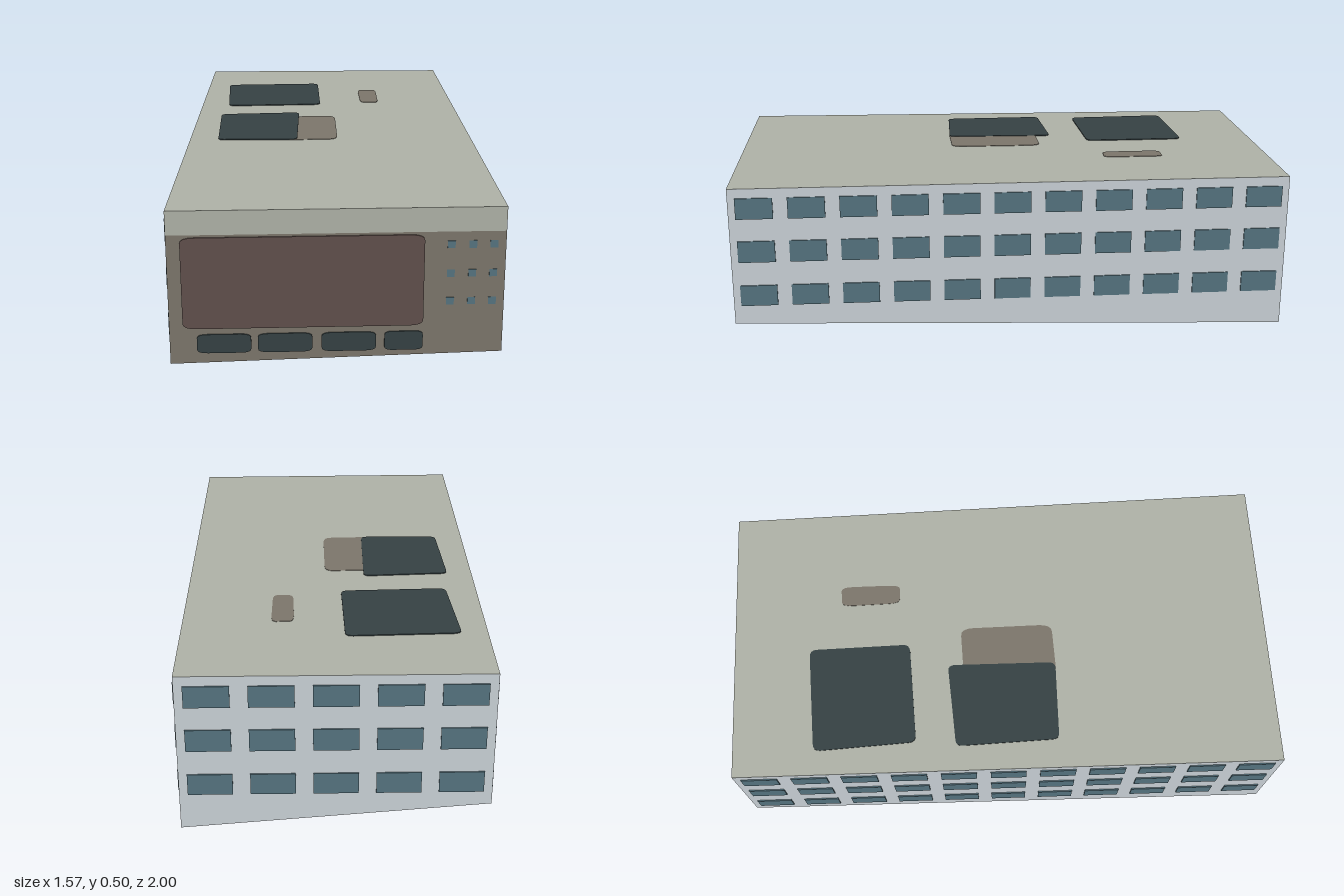
import * as THREE from 'three';

const mat = (name, color, side = THREE.FrontSide) => {
  const m = new THREE.MeshStandardMaterial({ color, side });
  m.name = name;
  return m;
};

// Footprint corners, counter-clockwise from above: [x, z, bottom height]
const CORNERS = [[-0.08, 0.995, 0.033], [0.783, 0.587, 0.055], [0.04, -1, 0], [-0.785, -0.625, 0.072]];
const ROOF_Y = 0.497, BAND_Y = 0.425;

export function createModel() {
  const wall = mat('paleWall', 0xcbd3d8);
  const stone = mat('roofGrey', 0xb0b3a8);
  const taupe = mat('taupe', 0x7d776c);
  const brown = mat('brownPanel', 0x61504c);
  const dark = mat('darkGlass', 0x364244);
  const glass = mat('windowGlass', 0x567480);

  const model = new THREE.Group();
  model.name = 'building';

  // A face patch from four corners, split along the first-third diagonal
  const quad = (name, pts, material) => {
    const g = new THREE.BufferGeometry();
    g.setAttribute('position', new THREE.Float32BufferAttribute([0, 1, 2, 0, 2, 3].flatMap(i => pts[i]), 3));
    g.computeVertexNormals();
    const mesh = new THREE.Mesh(g, material);
    mesh.name = name;
    model.add(mesh);
  };

  // Shell: sloping base, flat roof and four walls
  const low = CORNERS.map(([x, z, y]) => [x, y, z]);
  const at = y => CORNERS.map(([x, z]) => [x, y, z]);
  const top = at(ROOF_Y), band = at(BAND_Y);
  quad('roof', top, stone);
  quad('base', [low[3], low[2], low[1], low[0]], wall);
  quad('frontLowerWall', [low[0], low[1], band[1], band[0]], taupe);
  quad('frontUpperBand', [band[0], band[1], top[1], top[0]], stone);
  ['rightWall', 'backWall', 'leftWall'].forEach((name, k) => {
    const a = k + 1, b = (k + 2) % 4;
    quad(name, [low[a], low[b], top[b], top[a]], wall);
  });

  // Thin plate outlined by points whose corners are rounded by fraction r
  const plateGeometry = (pts, r, depth) => {
    const s = new THREE.Shape();
    const v = pts.map(p => new THREE.Vector2(...p));
    v.forEach((p, i) => {
      const prev = v[(i + v.length - 1) % v.length], next = v[(i + 1) % v.length];
      const a = p.clone().lerp(prev, r), b = p.clone().lerp(next, r);
      if (i) s.lineTo(a.x, a.y); else s.moveTo(a.x, a.y);
      if (r) s.quadraticCurveTo(p.x, p.y, b.x, b.y);
    });
    s.closePath();
    return new THREE.ExtrudeGeometry(s, { depth, bevelEnabled: false, curveSegments: 4 });
  };

  // Group whose local x runs along a wall, y is up and z points outwards
  const wallFrame = (name, i) => {
    const [ax, az] = CORNERS[i], [bx, bz] = CORNERS[(i + 1) % 4];
    const group = new THREE.Group();
    group.name = name;
    group.position.set(ax, 0, az);
    group.rotation.y = Math.atan2(az - bz, bx - ax);
    model.add(group);
    return { group, length: Math.hypot(bx - ax, bz - az) };
  };

  const addPlate = (parent, name, x0, x1, y0, y1, material, r = 0, depth = 0.004) => {
    const mesh = new THREE.Mesh(plateGeometry([[x0, y0], [x1, y0], [x1, y1], [x0, y1]], r, depth), material);
    mesh.name = name;
    parent.add(mesh);
  };

  // Three storeys of windows on the side and back walls
  const rows = [[0.115, 0.182], [0.259, 0.328], [0.4, 0.467]];
  [['rightWindows', 1, 11], ['backWindows', 2, 5], ['leftWindows', 3, 11]].forEach(([name, i, count]) => {
    const { group, length } = wallFrame(name, i);
    const cell = length / count;
    for (const [y0, y1] of rows)
      for (let c = 0; c < count; c++)
        addPlate(group, 'window', (c + 0.14) * cell, (c + 0.86) * cell, y0, y1, glass);
  });

  // Front: large panel, row of low openings and small vents
  const front = wallFrame('frontDetails', 0);
  const fx = x => (x + 0.08) / 0.863 * front.length;
  addPlate(front.group, 'largePanel', fx(-0.045), fx(0.575), 0.142, 0.418, brown, 0.06);
  for (const [a, b] of [[-0.01, 0.13], [0.147, 0.288], [0.312, 0.453], [0.475, 0.575]])
    addPlate(front.group, 'lowOpening', fx(a), fx(b), 0.066, 0.124, dark, 0.2);
  for (const x of [0.643, 0.698, 0.752])
    for (const y of [0.215, 0.3, 0.387])
      addPlate(front.group, 'smallVent', fx(x - 0.01), fx(x + 0.01), y - 0.011, y + 0.011, glass, 0, 0.002);

  // Roof: dark skylights and taupe patches, outlined as [x, z]
  const roofPlate = (name, pts, material, r, depth) => {
    const mesh = new THREE.Mesh(plateGeometry(pts.map(([x, z]) => [x, -z]), r, depth), material);
    mesh.name = name;
    mesh.rotation.x = -Math.PI / 2;
    mesh.position.y = ROOF_Y;
    model.add(mesh);
  };
  roofPlate('rearSkylight', [[-0.46, -0.125], [-0.16, -0.275], [-0.3, -0.575], [-0.61, -0.42]], dark, 0.07, 0.003);
  roofPlate('frontSkylight', [[-0.28, 0.3], [-0.04, 0.195], [-0.18, -0.13], [-0.425, 0]], dark, 0.07, 0.003);
  roofPlate('roofPatch', [[-0.08, 0.215], [0.08, 0.135], [-0.045, -0.14], [-0.21, -0.06]], taupe, 0.14, 0.0015);
  roofPlate('smallRoofPatch', [[-0.035, -0.365], [0.025, -0.39], [-0.055, -0.57], [-0.117, -0.54]], taupe, 0.2, 0.0015);

  return model;
}
